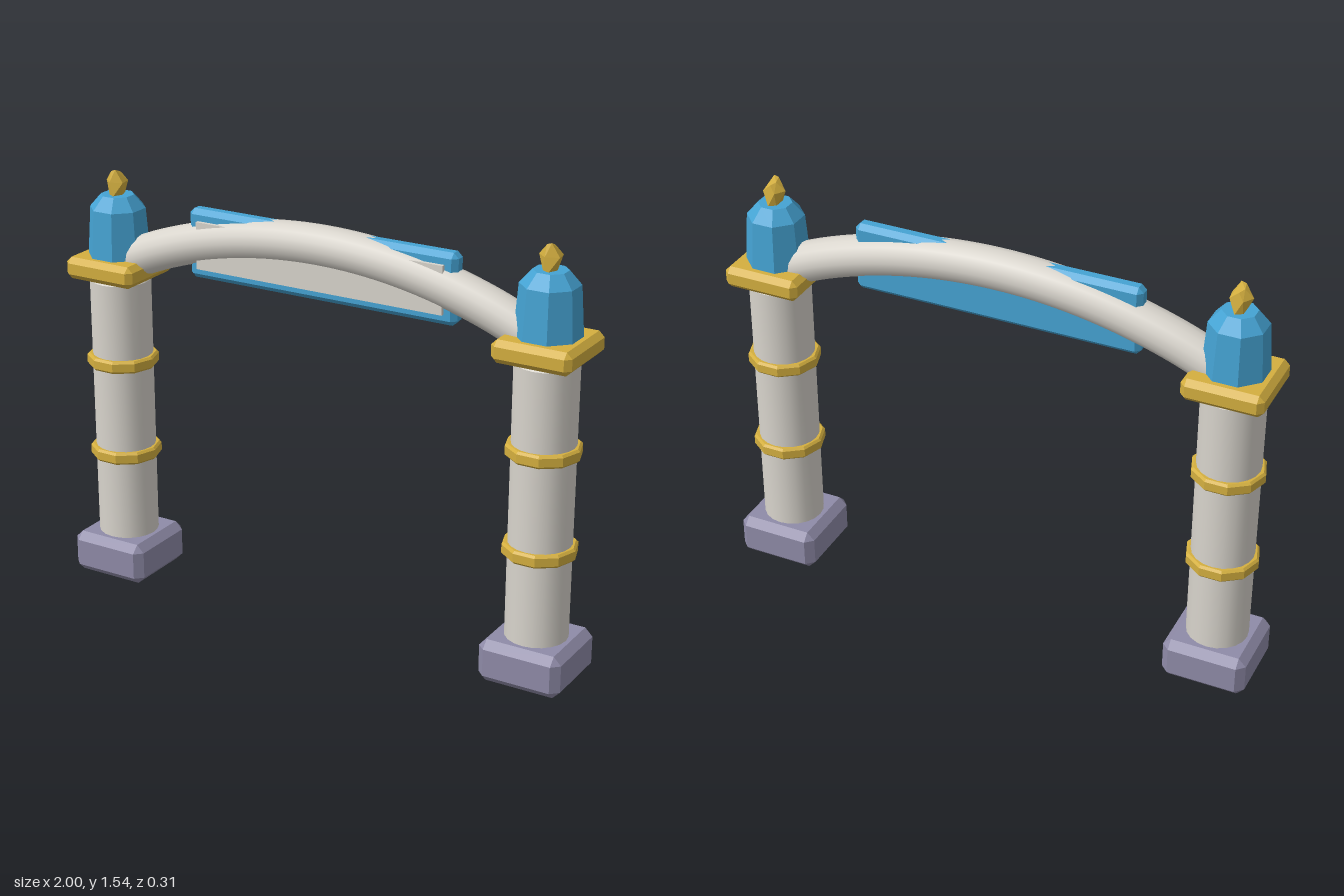
import * as THREE from 'three';
import { toCreasedNormals } from 'three/addons/utils/BufferGeometryUtils.js';
import { ConvexGeometry } from 'three/addons/geometries/ConvexGeometry.js';

const material = (name, color) => {
  const m = new THREE.MeshStandardMaterial({ color });
  m.name = name;
  return m;
};

function add(parent, name, geometry, mat, x = 0, y = 0, z = 0) {
  const mesh = new THREE.Mesh(geometry, mat);
  mesh.name = name;
  mesh.position.set(x, y, z);
  parent.add(mesh);
  return mesh;
}

// Box with every edge cut by a flat chamfer, centred on the origin
function chamferBox(w, h, d, c) {
  const points = [];
  for (const sx of [-1, 1]) for (const sy of [-1, 1]) for (const sz of [-1, 1]) {
    const x = w / 2, y = h / 2, z = d / 2;
    points.push(
      new THREE.Vector3(sx * x, sy * (y - c), sz * (z - c)),
      new THREE.Vector3(sx * (x - c), sy * y, sz * (z - c)),
      new THREE.Vector3(sx * (x - c), sy * (y - c), sz * z));
  }
  return new ConvexGeometry(points);
}

// Turned profile of [radius, y] pairs, listed bottom to top
function turned(profile, sides, start = 0, crease = 0.4) {
  const points = profile.map(([r, y]) => new THREE.Vector2(r, y));
  return toCreasedNormals(new THREE.LatheGeometry(points, sides, start), crease);
}

// Faceted flame: three twisted rings of different widths
function flameGeometry() {
  const rings = [[0, 0.022, 0.038, 0], [0.05, 0.042, 0.036, 0.5], [0.095, 0.014, 0.026, 0.9]];
  const points = [];
  for (const [y, rx, rz, twist] of rings) {
    for (let i = 0; i < 5; i++) {
      const a = (i / 5) * Math.PI * 2 + twist;
      points.push(new THREE.Vector3(Math.cos(a) * rx, y - (y > 0.08 ? 0.006 * i : 0), Math.sin(a) * rz));
    }
  }
  return new ConvexGeometry(points);
}

export function createModel() {
  const model = new THREE.Group();
  model.name = 'archGate';
  const stone = material('paleStone', 0xd8d4cc);
  const gold = material('gold', 0xd4af3f);
  const blue = material('blue', 0x45a3d3);
  const slate = material('slatePurple', 0x8f8ba8);

  const base = chamferBox(0.305, 0.155, 0.305, 0.028);
  const shaft = turned([[0, 0.15], [0.11, 0.15], [0.11, 1.135], [0.1, 1.15], [0, 1.15]], 20);
  const band = turned([[0.1, -0.023], [0.122, -0.023], [0.13, -0.015], [0.13, 0.015],
    [0.122, 0.023], [0.1, 0.023]], 10, Math.PI / 2, 0.3);
  const capital = chamferBox(0.285, 0.08, 0.285, 0.02);
  const turret = turned([[0, 1.22], [0.114, 1.22], [0.101, 1.4], [0.06, 1.447], [0, 1.447]],
    8, Math.PI / 8, 0.2);
  const flame = flameGeometry();

  // Matching pillars
  for (const side of [-1, 1]) {
    const pillar = new THREE.Group();
    pillar.name = side > 0 ? 'leftPillar' : 'rightPillar';
    pillar.position.x = side * 0.847;
    add(pillar, 'base', base, slate, 0, 0.0775);
    add(pillar, 'shaft', shaft, stone);
    add(pillar, 'lowerBand', band, gold, 0, 0.477);
    add(pillar, 'upperBand', band, gold, 0, 0.832);
    add(pillar, 'capital', capital, gold, 0, 1.187);
    add(pillar, 'turret', turret, blue);
    add(pillar, 'flame', flame, gold, 0, 1.445);
    model.add(pillar);
  }

  // Shallow round-section arch, its ends buried in the turrets
  const R = 1.9;
  const centreline = [];
  for (let i = -6; i <= 6; i++) {
    const x = (i / 6) * 0.78;
    centreline.push(new THREE.Vector3(x, 1.389 - R + Math.sqrt(R * R - x * x), 0));
  }
  add(model, 'arch', new THREE.TubeGeometry(new THREE.CatmullRomCurve3(centreline), 40, 0.072, 16), stone);

  // Sign board with its pale front panel
  add(model, 'signBoard', chamferBox(1.05, 0.25, 0.064, 0.018), blue, 0, 1.325);
  add(model, 'signPanel', new THREE.BoxGeometry(0.965, 0.17, 0.02), stone, 0, 1.325, 0.036);

  return model;
}
